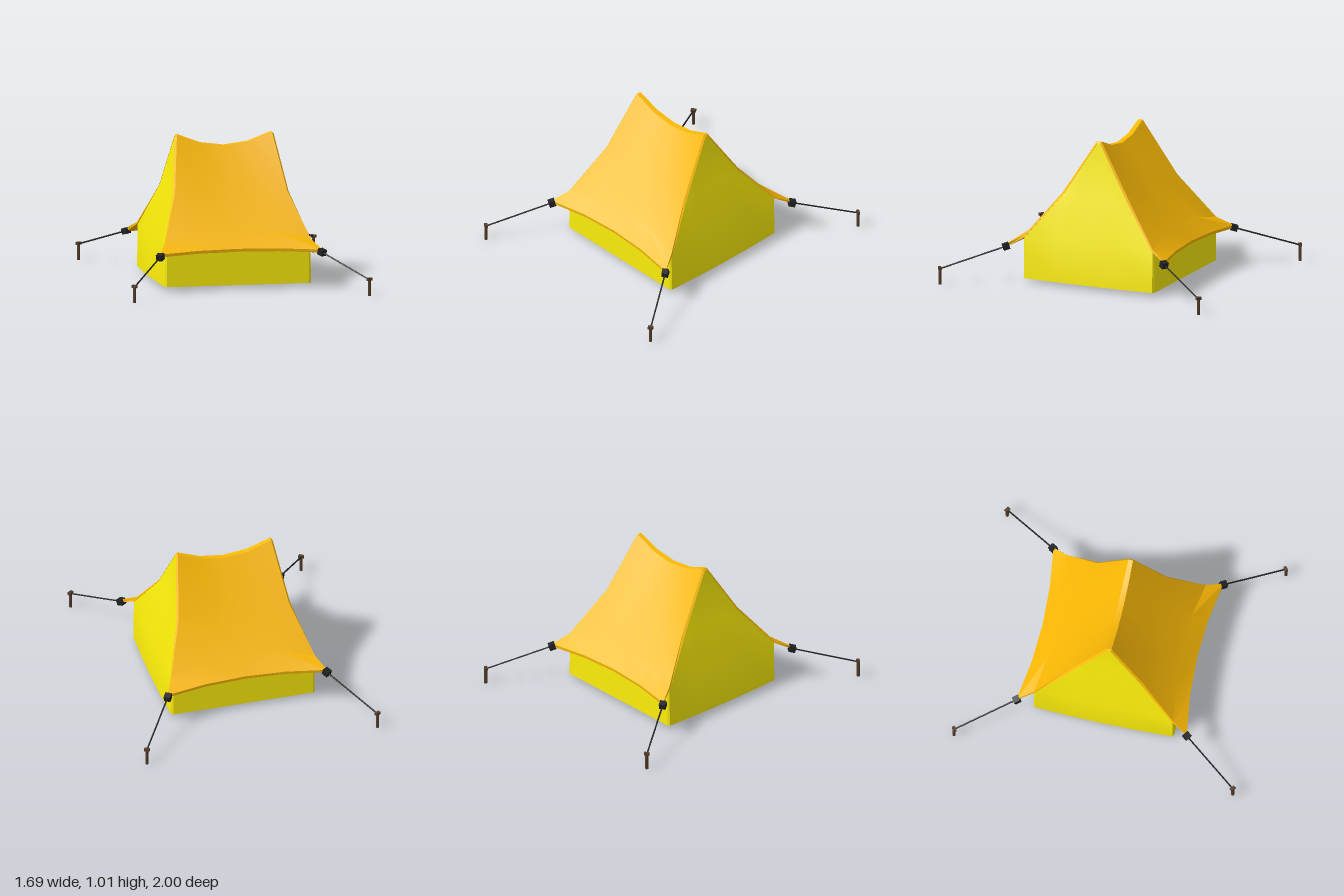
import * as THREE from 'three';
import { toCreasedNormals } from 'three/addons/utils/BufferGeometryUtils.js';

const paint = (color) => new THREE.MeshStandardMaterial({ color, side: THREE.DoubleSide });
const COLS = [-1, -0.5, 0, 0.5, 1];

// Skin over rows of points; closed rows form rings, and capped rings get both ends filled.
function loft(rows, closed = false, capped = false) {
  const n = rows[0].length;
  const index = [];
  const quad = (a, b, c, d) => index.push(a, b, c, b, d, c);
  for (let i = 0; i < rows.length - 1; i++) {
    for (let j = 0; j < (closed ? n : n - 1); j++) {
      const k = (j + 1) % n;
      quad(i * n + j, i * n + k, (i + 1) * n + j, (i + 1) * n + k);
    }
  }
  if (capped) {
    const last = (rows.length - 1) * n;
    for (let j = 0; j < n / 2 - 1; j++) {
      const low = n - 1 - j;
      quad(low, low - 1, j, j + 1);
      quad(last + j, last + j + 1, last + low, last + low - 1);
    }
  }
  const geometry = new THREE.BufferGeometry();
  geometry.setAttribute('position', new THREE.Float32BufferAttribute(rows.flat(2), 3));
  geometry.setIndex(index);
  return toCreasedNormals(geometry, 0.35);
}

function named(name, geometry, material) {
  const mesh = new THREE.Mesh(geometry, material);
  mesh.name = name;
  return mesh;
}

// Roof sheet: flared corners, nearly straight middle, and an underside (lowX, dy, dz)
// that is wider near the ridge, so the side edges are bevelled.
function roofGeometry() {
  const half = [
    { x: 0.57, lowX: 0.565, y: 0.27, z: 0.6, midY: 0.285, midZ: 0.545, dy: -0.02, dz: -0.002 },
    { x: 0.512, lowX: 0.514, y: 0.33, z: 0.49, midY: 0.4, midZ: 0.437, dy: -0.011, dz: -0.008 },
    { x: 0.393, lowX: 0.405, y: 0.635, z: 0.25, midY: 0.648, midZ: 0.228, dy: -0.008, dz: -0.011 },
    { x: 0.333, lowX: 0.346, y: 1.01, z: 0.016, midY: 0.925, midZ: 0.02, dy: -0.014, dz: -0.005 },
  ];
  const ring = (r, side) => {
    const point = (t, under) => [
      (under ? r.lowX : r.x) * t,
      r.midY + (r.y - r.midY) * t * t + under * r.dy,
      side * (r.midZ + (r.z - r.midZ) * t * t + under * r.dz),
    ];
    return [...COLS.map((t) => point(t, 0)), ...[...COLS].reverse().map((t) => point(t, 1))];
  };
  const rows = [...half.map((r) => ring(r, 1)), ...[...half].reverse().map((r) => ring(r, -1))];
  return loft(rows, true, true);
}

// Gable: narrowing rows that meet the roof edge, with the foot bulging slightly outwards.
function gableGeometry() {
  const rows = [
    [0.025, 0.513, 0.525, 0.485],
    [0.318, 0.508, 0.507, 0.485],
    [0.628, 0.403, 0.4, 0.241],
    [0.997, 0.344, 0.344, 0.011],
  ];
  return loft(rows.map(([y, edge, mid, z]) =>
    COLS.map((t) => [mid + (edge - mid) * t * t, y, -z * t])));
}

// Low wall with slim corner strips that reach the gable edges.
function wallGeometry() {
  const row = (y, edge) => [[-edge, y, 0.485], [-0.498, y, 0.495], [0.498, y, 0.495], [edge, y, 0.485]];
  return loft([row(0.025, 0.513), row(0.307, 0.508)]);
}

// Guy line with its clamp and ground peg for one corner.
function guyLine(sx, sz, mats) {
  const group = new THREE.Group();
  group.name = 'guyLine';
  const start = new THREE.Vector3(sx * 0.567, 0.253, sz * 0.6);
  const end = new THREE.Vector3(sx * 0.822, 0.112, sz * 0.98);

  const clamp = named('clamp', new THREE.BoxGeometry(0.045, 0.042, 0.046), mats.rope);
  clamp.position.copy(start);
  clamp.lookAt(end);

  const rope = named('rope', new THREE.TubeGeometry(new THREE.LineCurve3(start, end), 1, 0.0055, 6), mats.rope);

  const peg = new THREE.Group();
  peg.name = 'peg';
  const shaft = named('pegShaft', new THREE.CylinderGeometry(0.011, 0.011, 0.11, 8), mats.wood);
  shaft.position.y = 0.055;
  const head = named('pegHead', new THREE.BoxGeometry(0.036, 0.02, 0.022), mats.wood);
  head.position.y = 0.115;
  peg.add(shaft, head);
  peg.position.set(sx * 0.823, 0, sz * 0.982);
  peg.rotation.y = sx * sz * 0.59;

  group.add(clamp, rope, peg);
  return group;
}

export function createModel() {
  const model = new THREE.Group();
  model.name = 'tent';
  const mats = {
    roof: paint(0xfcba04),
    wall: paint(0xfcee0a),
    rope: paint(0x222222),
    wood: paint(0x563d28),
  };

  model.add(named('roof', roofGeometry(), mats.roof));

  // Walls and gables repeat on opposite sides
  for (const turn of [0, Math.PI]) {
    const gable = named(turn ? 'rightGable' : 'leftGable', gableGeometry(), mats.wall);
    const wall = named(turn ? 'backWall' : 'frontWall', wallGeometry(), mats.wall);
    gable.rotation.y = wall.rotation.y = turn;
    model.add(gable, wall);
  }

  for (const sx of [-1, 1]) for (const sz of [-1, 1]) model.add(guyLine(sx, sz, mats));
  return model;
}
